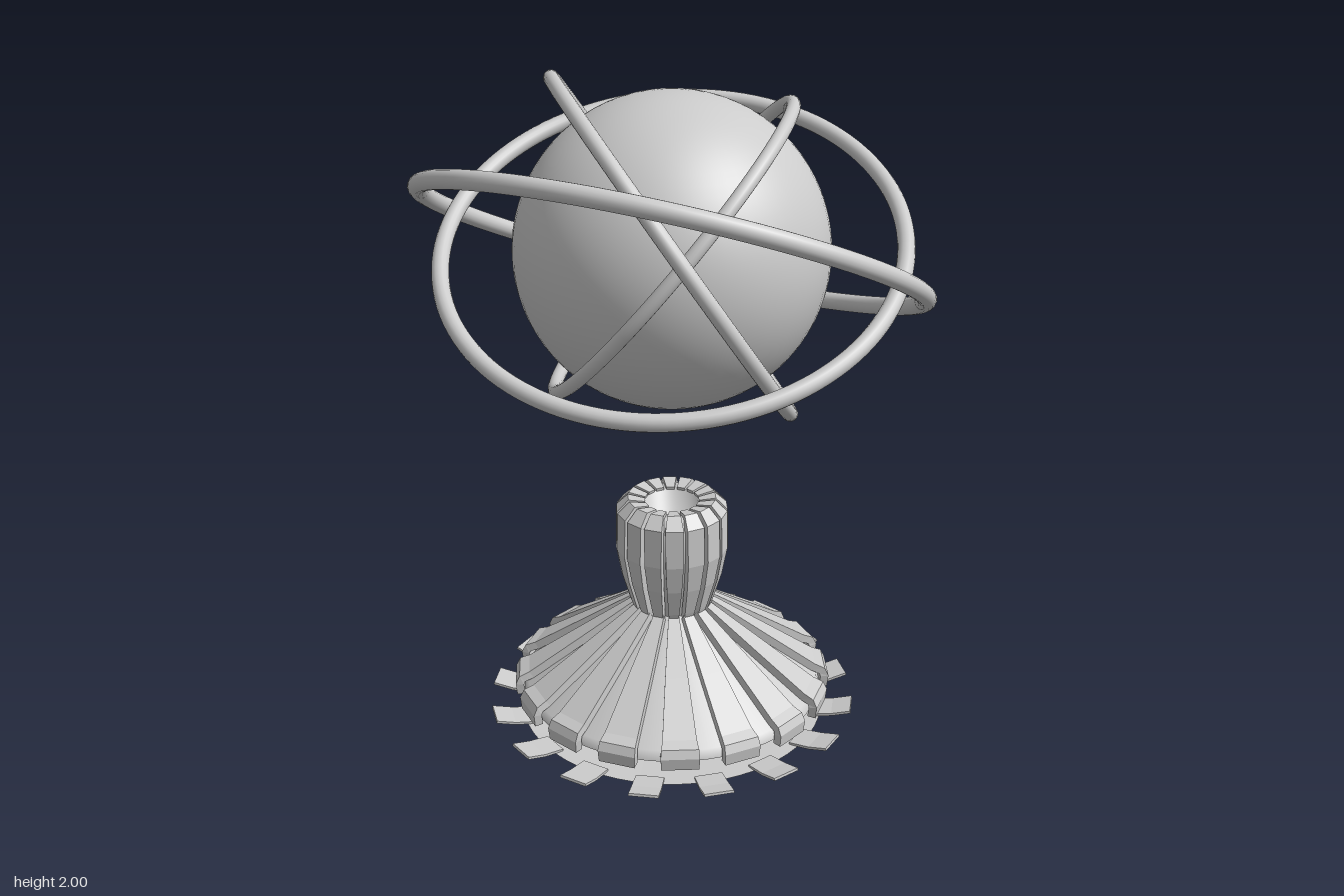
import * as THREE from 'three';

const COUNT = 16;
const grey = new THREE.MeshStandardMaterial({ color: 0xcccccc });
const greyBoth = new THREE.MeshStandardMaterial({ color: 0xcccccc, side: THREE.DoubleSide });

// Flat-sided bar along a path of [radius, y, halfWidth], running inside to outside or top to bottom
function barGeometry(path, thickness) {
  const pos = [], idx = [];
  path.forEach(([r, y, w], i) => {
    const a = path[Math.max(i - 1, 0)], b = path[Math.min(i + 1, path.length - 1)];
    const d = new THREE.Vector2(b[0] - a[0], b[1] - a[1]).normalize();
    const ri = r + d.y * thickness, yi = y - d.x * thickness;
    pos.push(r, y, w, r, y, -w, ri, yi, -w, ri, yi, w);
  });
  for (let i = 0; i < path.length - 1; i++) {
    for (let j = 0; j < 4; j++) {
      const a = i * 4 + j, b = i * 4 + (j + 1) % 4;
      idx.push(a, b + 4, b, a, a + 4, b + 4);
    }
  }
  const e = (path.length - 1) * 4;
  idx.push(0, 1, 2, 0, 2, 3, e, e + 2, e + 1, e, e + 3, e + 2);
  let geo = new THREE.BufferGeometry();
  geo.setAttribute('position', new THREE.Float32BufferAttribute(pos, 3));
  geo.setIndex(idx);
  geo = geo.toNonIndexed();
  geo.computeVertexNormals();
  return geo;
}

// Repeats a geometry around the vertical axis
function radial(name, geo, offsetDeg) {
  const group = new THREE.Group();
  group.name = name + 's';
  for (let i = 0; i < COUNT; i++) {
    const mesh = new THREE.Mesh(geo, greyBoth);
    mesh.name = name;
    mesh.rotation.y = -THREE.MathUtils.degToRad(offsetDeg + i * 360 / COUNT);
    group.add(mesh);
  }
  return group;
}

function lathe(name, points) {
  const geo = new THREE.LatheGeometry(points.map(p => new THREE.Vector2(...p)), 64);
  const mesh = new THREE.Mesh(geo, greyBoth);
  mesh.name = name;
  return mesh;
}

export function createModel() {
  const model = new THREE.Group();
  model.name = 'orbitalSphereStand';

  // Floating sphere
  const sphere = new THREE.Mesh(new THREE.SphereGeometry(0.448, 64, 40), grey);
  sphere.name = 'sphere';
  sphere.position.y = 1.489;
  model.add(sphere);

  // Four tilted rings: radius, tube radius, axis
  const rings = new THREE.Group();
  rings.name = 'rings';
  const axisZ = new THREE.Vector3(0, 0, 1);
  [
    [0.7255, 0.027, [0.444, 0.88, -0.17]],
    [0.653, 0.025, [-0.325, 0.909, 0.26]],
    [0.5736, 0.022, [0.725, 0.553, 0.411]],
    [0.52, 0.02, [0.5, -0.63, 0.59]],
  ].forEach(([radius, tube, axis], i) => {
    const ring = new THREE.Mesh(new THREE.TorusGeometry(radius, tube, 16, 120), grey);
    ring.name = 'ring' + (i + 1);
    ring.quaternion.setFromUnitVectors(axisZ, new THREE.Vector3(...axis).normalize());
    ring.position.y = 1.498;
    rings.add(ring);
  });
  model.add(rings);

  // Smooth skins behind the staves
  model.add(lathe('bellSkin', [[0.455, 0.085], [0.445, 0.115], [0.25, 0.245], [0.09, 0.36]]));
  model.add(lathe('neckCore', [[0.09, 0.34], [0.105, 0.4], [0.135, 0.5], [0.15, 0.57],
    [0.152, 0.665], [0.12, 0.7], [0.078, 0.695], [0.07, 0.64], [0, 0.63]]));
  model.add(lathe('coreTip', [[0, 0.03], [0.08, 0.068], [0.1, 0.12], [0.09, 0.36]]));

  // Neck staves, swelling upward and folding over the open top
  model.add(radial('neckStave', barGeometry([
    [0.08, 0.705, 0.012], [0.13, 0.715, 0.02], [0.165, 0.68, 0.027], [0.168, 0.56, 0.026],
    [0.152, 0.47, 0.022], [0.126, 0.38, 0.016], [0.108, 0.33, 0.01],
  ], 0.022), 16.5));

  // Flared staves of the bell, each ending in a turned-down foot
  model.add(radial('bellStave', barGeometry([
    [0.115, 0.37, 0.016], [0.28, 0.257, 0.034], [0.44, 0.148, 0.05],
    [0.47, 0.135, 0.055], [0.482, 0.11, 0.057], [0.478, 0.072, 0.055],
  ], 0.025), 16.5));

  // Base disc, very shallow and coming to a point underneath
  model.add(lathe('baseDisc', [[0, 0], [0.465, 0.013]]));

  // Upturned tabs around the disc
  model.add(radial('baseTab', barGeometry([
    [0.435, 0.018, 0.042], [0.5, 0.026, 0.044], [0.557, 0.04, 0.044],
  ], 0.008), 5.3));

  return model;
}
